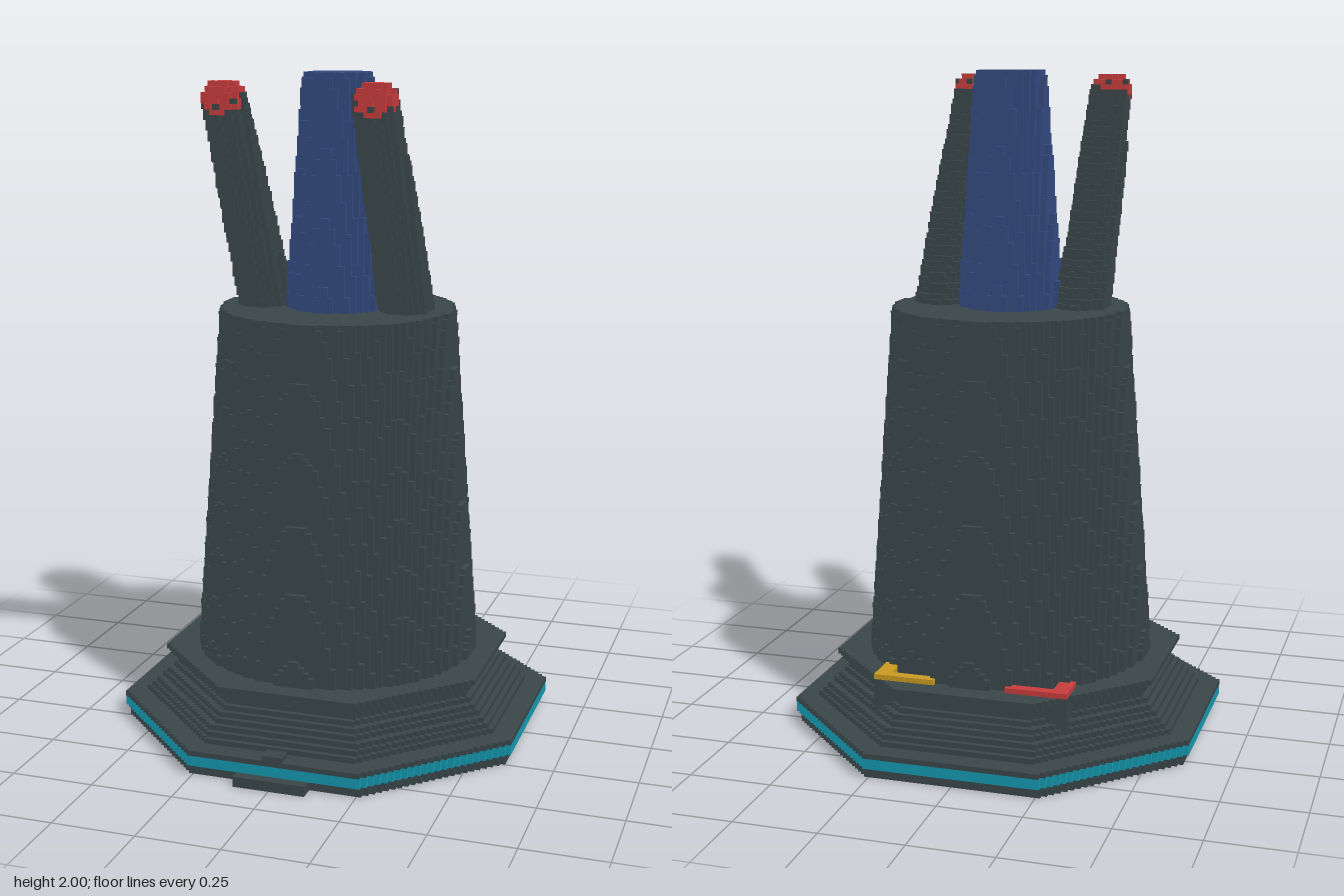
import * as THREE from 'three';

// The model is made of small cubes: each part is a solid rule sampled on one grid.
const H = 2 / 129;                 // cube edge
const N = [80, 129, 82];           // cubes along x, y, z
const ZC = -H;                     // z of the tower axis

const paint = (name, color) => {
  const m = new THREE.MeshStandardMaterial({ color });
  m.name = name;
  return m;
};

// Solid rules
const octagon = (x, z, r) => {
  const a = Math.abs(x), b = Math.abs(z - ZC);
  return a < r && b < r && a + b < r * Math.SQRT2;
};
const round = (x, z, r) => Math.hypot(x, z - ZC) < r;
const between = (v, a, b) => v > a && v < b;
const taper = (y, y0, y1, r0, r1) => r0 + (r1 - r0) * (y - y0) / (y1 - y0);

const FLOOR = 5 * H, RIM = 15 * H, DECK = 84 * H;

// Waisted octagonal plinth between the foot plate and the rim
function plinth(x, y, z) {
  if (!between(y, FLOOR, RIM)) return false;
  const layer = Math.floor(y / H) - 5;
  const r = layer < 7 ? 0.558 - layer * H : 0.455 + (layer - 6) * H * 0.9;
  return octagon(x, z, r);
}

// Tilted barrels on the deck
const TILT = Math.atan2(0.34, 0.635);
const TIP = new THREE.Vector3(0.222, 1.932, 0.338);
const along = (y, z) => (y - TIP.y) * Math.cos(TILT) + (z - TIP.z) * Math.sin(TILT);
const across = (y, z) => (z - TIP.z) * Math.cos(TILT) - (y - TIP.y) * Math.sin(TILT);
const barrel = (side) => (x, y, z) => {
  const t = along(y, z);
  return y > DECK && between(t, -0.9, 0.02) &&
    Math.hypot(x - side * TIP.x, across(y, z)) < taper(t, -0.7, 0, 0.08, 0.06);
};
const muzzle = (side) => (x, y, z) =>
  along(y, z) > -0.015 &&
  Math.hypot(x - side * TIP.x, y - TIP.y, z - TIP.z) < 0.058;

// Corner blocks at the back and the L-shaped markers on top of them
const corner = (side, x, z) => between(x * side, 0.105, 0.287) && between(z, -0.457, -0.34);
const bracket = (side) => (x, y, z) => between(y, FLOOR, RIM) && corner(side, x, z);
const marker = (side) => (x, y, z) =>
  between(y, RIM, RIM + H) && corner(side, x, z) &&
  (x * side > 0.287 - 2.3 * H || z < -0.457 + 2.3 * H);

// Sample every part; later parts win where they overlap
function fillGrid(parts) {
  const cells = new Uint8Array(N[0] * N[1] * N[2]);
  for (let k = 0, n = 0; k < N[2]; k++)
    for (let j = 0; j < N[1]; j++)
      for (let i = 0; i < N[0]; i++, n++) {
        const x = (i + 0.5 - N[0] / 2) * H;
        const y = (j + 0.5) * H;
        const z = (k + 0.5 - N[2] / 2) * H;
        for (let p = parts.length; p > 0; p--)
          if (parts[p - 1].inside(x, y, z)) { cells[n] = p; break; }
      }
  return cells;
}

// Emit the outer faces of the cubes, joined into strips
function skin(parts, cells) {
  const out = parts.map(() => []);
  const at = (c) => c.some((v, a) => v < 0 || v >= N[a]) ? 0
    : cells[c[0] + N[0] * (c[1] + N[1] * c[2])];
  const open = (c, d, s) => {
    const p = at(c);
    if (!p) return 0;
    const q = [...c];
    q[d] += s;
    return at(q) ? 0 : p;
  };
  const step = (c, a, n) => { const q = [...c]; q[a] += n; return q; };
  const point = (c) => [(c[0] - N[0] / 2) * H, c[1] * H, (c[2] - N[2] / 2) * H];

  for (let k = 0; k < N[2]; k++)
    for (let j = 0; j < N[1]; j++)
      for (let i = 0; i < N[0]; i++) {
        const c = [i, j, k];
        if (!at(c)) continue;
        for (let d = 0; d < 3; d++)
          for (const s of [-1, 1]) {
            const p = open(c, d, s);
            const run = d === 1 ? 0 : 1;
            if (!p || open(step(c, run, -1), d, s) === p) continue;
            let len = 1;
            while (open(step(c, run, len), d, s) === p) len++;
            const u = (d + 1) % 3, v = (d + 2) % 3;
            const a = step(c, d, s > 0 ? 1 : 0);
            const b = step(a, u, u === run ? len : 1);
            const e = step(b, v, v === run ? len : 1);
            const f = step(a, v, v === run ? len : 1);
            const quad = s > 0 ? [a, b, e, a, e, f] : [a, e, b, a, f, e];
            for (const q of quad) out[p - 1].push(...point(q));
          }
      }
  return out;
}

export function createModel() {
  const dark = paint('dark armour', 0x3a4649);
  const blue = paint('blue core', 0x344a80);
  const red = paint('red marker', 0xc83c3c);
  const yellow = paint('yellow marker', 0xc99a22);
  const cyan = paint('cyan strip', 0x1499b0);

  const parts = [
    { name: 'footPlate', mat: dark, inside: (x, y, z) => y < FLOOR && octagon(x, z, y < 2 * H ? 39 * H : 40 * H) },
    { name: 'lightStrip', mat: cyan, inside: (x, y, z) => between(y, 2 * H, 4 * H) && octagon(x, z, 40 * H) },
    { name: 'frontStep', mat: dark, inside: (x, y, z) => y < 2 * H && Math.abs(x) < 0.105 && z > 0.5 },
    { name: 'frontLatch', mat: dark, inside: (x, y, z) => between(y, FLOOR, 6 * H) && Math.abs(x) < 0.035 && between(z, 0.565, 0.605) },
    { name: 'plinth', mat: dark, inside: plinth },
    { name: 'tower', mat: dark, inside: (x, y, z) => between(y, FLOOR, DECK) && round(x, z, taper(y, 0.23, 1.3, 0.432, 0.352)) },
    { name: 'core', mat: blue, inside: (x, y, z) => y > DECK && round(x, z, taper(y, 1.3, 2, 0.153, 0.1)) },
  ];
  for (const [label, side, markMat] of [['left', 1, yellow], ['right', -1, red]]) {
    const hidden = (x, y, z) => round(x, z, 0.43);
    const mark = marker(side);
    parts.push(
      { name: label + 'Bracket', mat: dark, inside: (x, y, z) => bracket(side)(x, y, z) && !hidden(x, y, z) },
      { name: label + 'CornerMarker', mat: markMat, inside: (x, y, z) => mark(x, y, z) && !hidden(x, y, z) },
      { name: label + 'Barrel', mat: dark, inside: barrel(side) },
      { name: label + 'Muzzle', mat: red, inside: muzzle(side) },
    );
  }

  const group = new THREE.Group();
  group.name = 'turretTower';
  skin(parts, fillGrid(parts)).forEach((points, n) => {
    if (!points.length) return;
    const geometry = new THREE.BufferGeometry();
    geometry.setAttribute('position', new THREE.Float32BufferAttribute(points, 3));
    geometry.computeVertexNormals();
    const mesh = new THREE.Mesh(geometry, parts[n].mat);
    mesh.name = parts[n].name;
    group.add(mesh);
  });
  return group;
}
